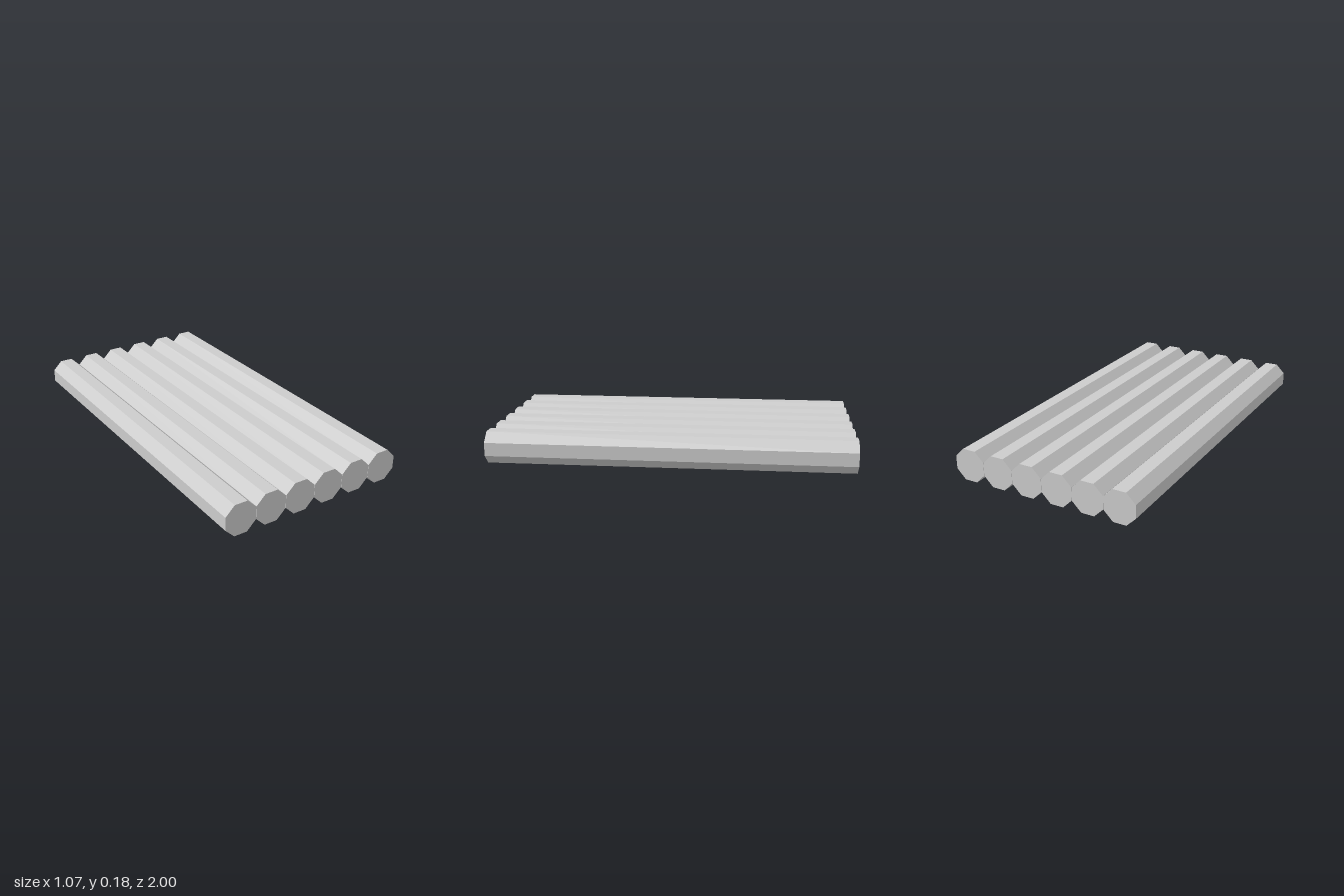
import * as THREE from 'three';

export function createModel() {
  const model = new THREE.Group();
  model.name = 'logRaft';

  const count = 6;
  const pitch = 0.1792;   // spacing between log centres
  const apothem = 0.0888; // half the distance across the flats
  const length = 2;

  // Eight-sided log lying along z, with a flat side facing down
  const radius = apothem / Math.cos(Math.PI / 8);
  const logGeometry = new THREE.CylinderGeometry(radius, radius, length, 8)
    .rotateY(Math.PI / 8)
    .rotateX(Math.PI / 2);
  const material = new THREE.MeshStandardMaterial({ color: 0xcccccc, flatShading: true });

  // Row of logs side by side
  for (let i = 0; i < count; i++) {
    const log = new THREE.Mesh(logGeometry, material);
    log.name = `log${i + 1}`;
    log.position.set((i - (count - 1) / 2) * pitch, apothem, 0);
    model.add(log);
  }
  return model;
}
